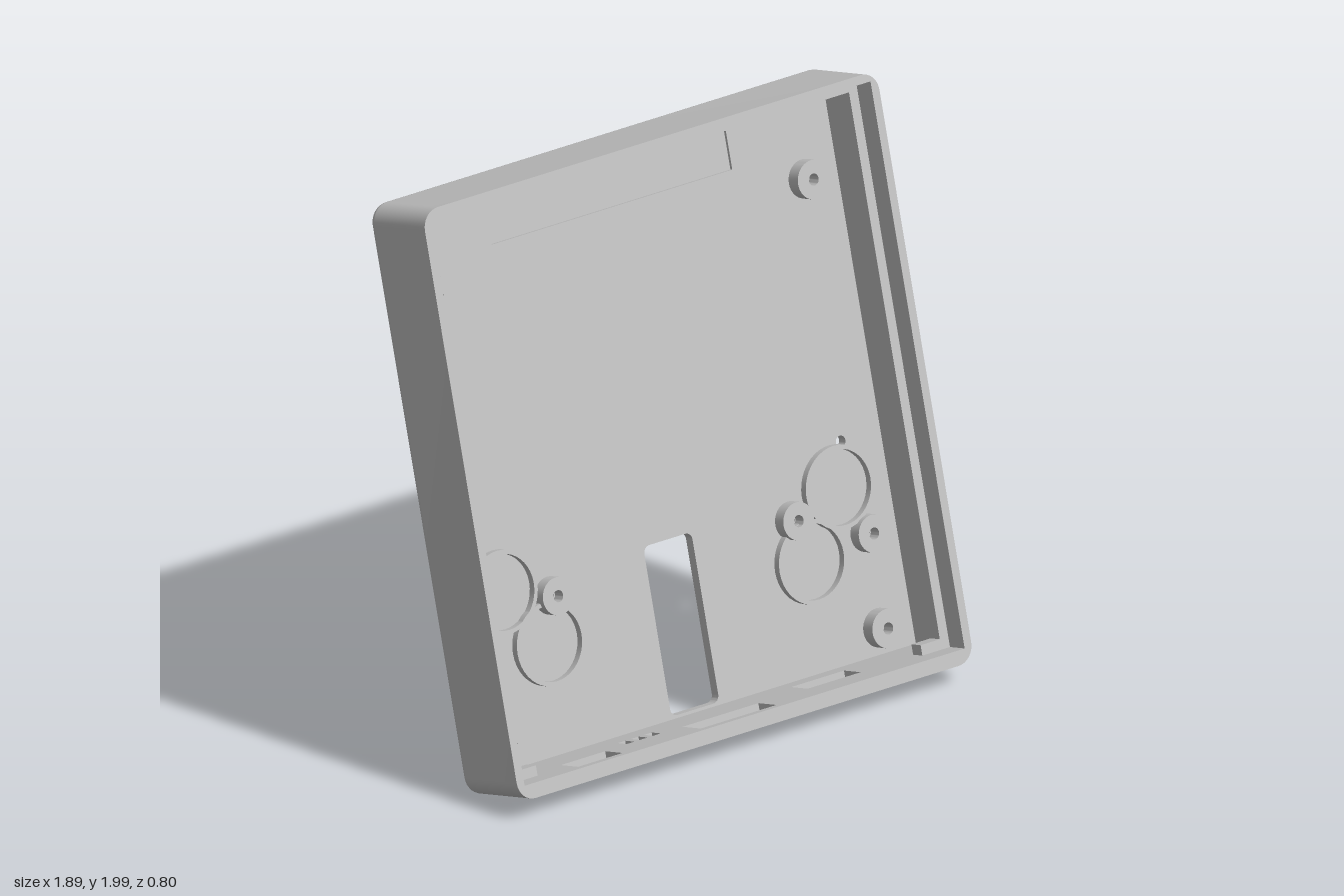
import * as THREE from 'three';
import { toCreasedNormals } from 'three/addons/utils/BufferGeometryUtils.js';

// Enclosure half width, half height, half depth, corner radius, back edge fillet
const W = 0.945, H = 0.995, D = 0.15, R = 0.065, F = 0.025;
const INNER_X = 0.915, INNER_TOP = 0.965, INNER_BOTTOM = -0.945;
const FLOOR = -0.115;
const QUARTER = Math.PI / 2, CORNER_STEPS = 8;

const points = list => list.map(([x, y]) => new THREE.Vector2(x, y));
const box = (x0, y0, x1, y1) => points([[x0, y0], [x1, y0], [x1, y1], [x0, y1]]);

// Quarter arc, counter-clockwise from a start angle
function corner(cx, cy, r, start) {
  return Array.from({ length: CORNER_STEPS + 1 }, (_, i) => {
    const a = start + (i / CORNER_STEPS) * QUARTER;
    return new THREE.Vector2(cx + r * Math.cos(a), cy + r * Math.sin(a));
  });
}

// Rounded rectangle, counter-clockwise, always the same number of points
function roundRect(x0, y0, x1, y1, r) {
  return [
    ...corner(x1 - r, y0 + r, r, -QUARTER),
    ...corner(x1 - r, y1 - r, r, 0),
    ...corner(x0 + r, y1 - r, r, QUARTER),
    ...corner(x0 + r, y0 + r, r, 2 * QUARTER),
  ];
}

function circle(x, y, r, sides) {
  return Array.from({ length: sides }, (_, i) => {
    const a = (i / sides) * Math.PI * 2;
    return new THREE.Vector2(x + r * Math.cos(a), y + r * Math.sin(a));
  });
}

// Extrude an outline with holes between two depths; edges sharp, curves smooth
function slab(outline, holes, z0, z1) {
  const shape = new THREE.Shape(outline);
  shape.holes = holes.map(h => new THREE.Path(h));
  const g = new THREE.ExtrudeGeometry(shape, { depth: z1 - z0, bevelEnabled: false, curveSegments: 1 });
  g.translate(0, 0, z0);
  g.clearGroups();
  return toCreasedNormals(g, 0.5);
}

// Quarter-round back edge lofted between inset outlines
function filletGeometry() {
  const steps = 5, n = 4 * (CORNER_STEPS + 1), pos = [], idx = [];
  for (let i = 0; i <= steps; i++) {
    const a = (i / steps) * QUARTER;
    const inset = F * (1 - Math.sin(a)), z = -D + F * (1 - Math.cos(a));
    roundRect(-W + inset, -H + inset, W - inset, H - inset, R - inset)
      .forEach(p => pos.push(p.x, p.y, z));
  }
  for (let i = 0; i < steps; i++) {
    for (let j = 0; j < n; j++) {
      const a = i * n + j, b = i * n + (j + 1) % n;
      idx.push(a, b, b + n, a, b + n, a + n);
    }
  }
  const g = new THREE.BufferGeometry();
  g.setAttribute('position', new THREE.Float32BufferAttribute(pos, 3));
  g.setIndex(idx);
  g.computeVertexNormals();
  return g;
}

export function createModel() {
  const grey = new THREE.MeshStandardMaterial({ color: 0xc0c0c0 });
  grey.name = 'grey plastic';

  const body = new THREE.Group();
  body.name = 'enclosure';
  const add = (name, geometry) => {
    const m = new THREE.Mesh(geometry, grey);
    m.name = name;
    body.add(m);
  };

  // Back panel in two layers; the inner one carries the shallow recess
  const panel = roundRect(-W + F, -H + F, W - F, H - F, R - F);
  const openings = [
    roundRect(-0.1, -0.935, 0.1, -0.363, 0.025),
    circle(0.75, -0.223, 0.02, 20),
    ...[[0.79, -0.54], [0.5, -0.425], [-0.79, -0.54], [-0.5, -0.425]]
      .map(([x, y]) => circle(x, y, 0.016, 20)),
  ];
  add('backPanel', slab(panel, openings, -D, FLOOR - 0.01));
  add('innerFloor', slab(panel, [...openings, box(-0.5, 0.756, 0.5, 0.942)], FLOOR - 0.01, FLOOR));
  add('backEdgeFillet', filletGeometry());

  // Side and top walls with the lower corners
  const E = 0.875;
  const frame = [
    ...points([[E, -H]]),
    ...roundRect(-W, -H, W, H, R),
    ...points([
      [-E, -H], [-E, INNER_BOTTOM], [-INNER_X, INNER_BOTTOM], [-INNER_X, INNER_TOP],
      [INNER_X, INNER_TOP], [INNER_X, INNER_BOTTOM], [E, INNER_BOTTOM],
    ]),
  ];
  add('sideAndTopWalls', slab(frame, [], -D + F, D));

  // Bottom wall in two layers, drawn in x and depth (outline y is minus depth)
  const cut = (x0, x1, d0, d1) => box(x0, -d1, x1, -d0);
  const wall = (holes, y0, y1) =>
    slab(box(-E, -D, E, D - F), holes, y0, y1).rotateX(-QUARTER);
  const vents = [-0.375, -0.32, -0.265].map(x => cut(x - 0.016, x + 0.016, -0.03, 0.02));
  const middle = -0.97;
  add('bottomWallOuter', wall([cut(0.31, 0.61, -0.07, 0.045), ...vents], -H, middle));
  add('bottomWallInner', wall([
    cut(0.35, 0.57, -0.055, 0.035), ...vents,
    cut(-0.67, -0.485, 0.026, 0.12), cut(-0.16, 0.155, 0.022, 0.12),
  ], middle, INNER_BOTTOM));

  // Support rail along the sides and top, ending in short tabs at the bottom
  const rail = points([
    [INNER_X, INNER_BOTTOM], [INNER_X, INNER_TOP], [-INNER_X, INNER_TOP], [-INNER_X, INNER_BOTTOM],
    [-0.8, INNER_BOTTOM], [-0.8, -0.91], [-0.88, -0.91], [-0.88, 0.932],
    [0.88, 0.932], [0.88, -0.91], [0.8, -0.91], [0.8, INNER_BOTTOM],
  ]);
  add('supportRail', slab(rail, [], 0.02, 0.07));

  // Screw bosses and component rings, mirrored left and right
  const tube = (name, x, y, outer, inner, height) =>
    add(name, slab(circle(x, y, outer, 40), [circle(x, y, inner, 40)], FLOOR, FLOOR + height));
  for (const side of [-1, 1]) {
    tube('upperBoss', side * 0.78, 0.655, 0.065, 0.02, 0.05);
    tube('lowerBoss', side * 0.78, -0.857, 0.065, 0.02, 0.05);
    tube('outerScrewBoss', side * 0.79, -0.54, 0.063, 0.02, 0.045);
    tube('innerScrewBoss', side * 0.5, -0.425, 0.063, 0.02, 0.045);
    tube('upperRing', side * 0.7, -0.363, 0.14, 0.126, 0.025);
    tube('lowerRing', side * 0.545, -0.575, 0.14, 0.126, 0.025);
  }

  // Lean the whole enclosure back
  body.rotation.x = -Math.PI / 12;
  body.position.y = 1;
  const model = new THREE.Group();
  model.name = 'tiltedEnclosure';
  model.add(body);
  return model;
}
